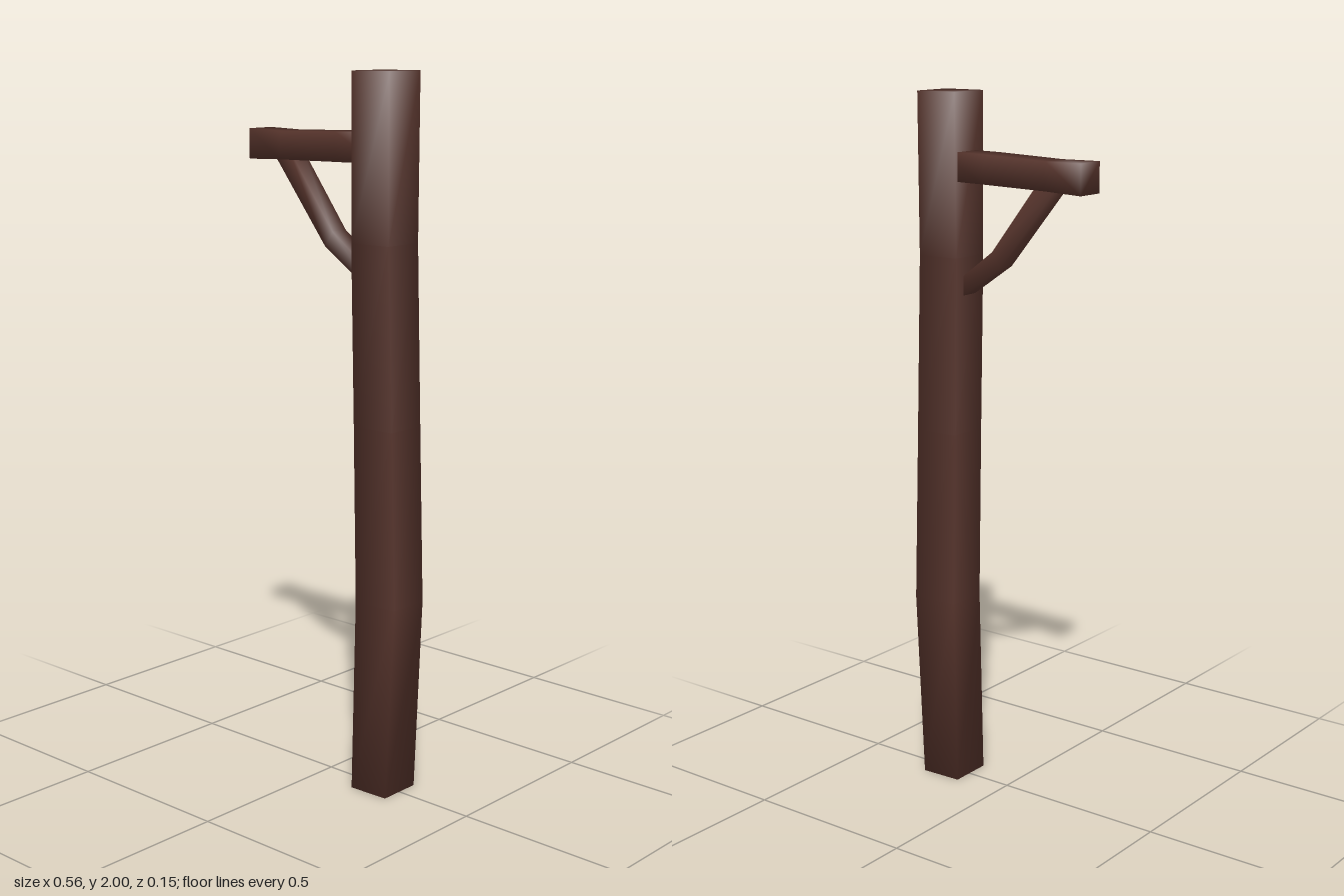
import * as THREE from 'three';

// Square timber through a few four-cornered rings, with softly shaded edges.
// Corners run counter-clockwise seen from the last ring towards the first.
function timber(name, rings, material) {
  const pos = [], nor = [], idx = [];
  const last = rings.length - 1;
  const centres = rings.map(r => r.reduce((s, c) => s.add(new THREE.Vector3(...c)), new THREE.Vector3()).divideScalar(4));
  rings.forEach((ring, i) => {
    const along = centres[Math.min(i + 1, last)].clone().sub(centres[Math.max(i - 1, 0)]).normalize();
    const tilt = i === 0 ? -0.6 : i === last ? 0.6 : 0;
    ring.forEach((c, j) => {
      const n = new THREE.Vector3(...c).sub(centres[i]);
      n.addScaledVector(along, -n.dot(along)).normalize().addScaledVector(along, tilt).normalize();
      pos.push(...c);
      nor.push(n.x, n.y, n.z);
      if (i < last) {
        const a = i * 4 + j, b = i * 4 + (j + 1) % 4;
        idx.push(a, b, b + 4, a, b + 4, a + 4);
      }
    });
  });
  const e = last * 4;
  idx.push(0, 2, 1, 0, 3, 2, e, e + 1, e + 2, e, e + 2, e + 3);
  const g = new THREE.BufferGeometry();
  g.setAttribute('position', new THREE.Float32BufferAttribute(pos, 3));
  g.setAttribute('normal', new THREE.Float32BufferAttribute(nor, 3));
  g.setIndex(idx);
  const mesh = new THREE.Mesh(g, material);
  mesh.name = name;
  return mesh;
}

export function createModel() {
  const group = new THREE.Group();
  group.name = 'woodenSignPost';
  const wood = new THREE.MeshStandardMaterial({ color: 0x54322a });
  wood.name = 'dark brown wood';

  // Upright post, slightly crooked: y, x range, z range
  const post = [
    [0, 0.14, 0.26, -0.06, 0.065],
    [0.55, 0.142, 0.277, -0.07, 0.052],
    [1.05, 0.14, 0.27, -0.06, 0.06],
    [1.55, 0.138, 0.262, -0.052, 0.07],
    [2, 0.135, 0.26, -0.057, 0.067],
  ].map(([y, x0, x1, z0, z1]) => [[x0, y, z1 + 0.003], [x1, y, z1 - 0.003], [x1, y, z0 - 0.003], [x0, y, z0 + 0.003]]);
  group.add(timber('post', post, wood));

  // Cross arm reaching out to the right: x, y range, z range
  const arm = [
    [0.2, 1.76, 1.84, -0.041, 0.04],
    [0.05, 1.758, 1.838, -0.043, 0.041],
    [-0.16, 1.754, 1.832, -0.047, 0.034],
    [-0.28, 1.75, 1.834, -0.055, 0.031],
  ].map(([x, y0, y1, z0, z1]) => [[x, y0, z0], [x, y0, z1], [x, y1, z1], [x, y1, z0]]);
  group.add(timber('crossArm', arm, wood));

  // Bent brace under the arm: lower edge x,y, upper edge x,y, z range
  const brace = [
    [0.2, 1.4, 0.2, 1.45, -0.02, 0.033],
    [0.015, 1.53, 0.042, 1.572, -0.012, 0.042],
    [-0.205, 1.785, -0.14, 1.79, -0.03, 0.024],
  ].map(([x0, y0, x1, y1, z0, z1]) => [[x0, y0, z0], [x0, y0, z1], [x1, y1, z1], [x1, y1, z0]]);
  group.add(timber('brace', brace, wood));

  return group;
}
